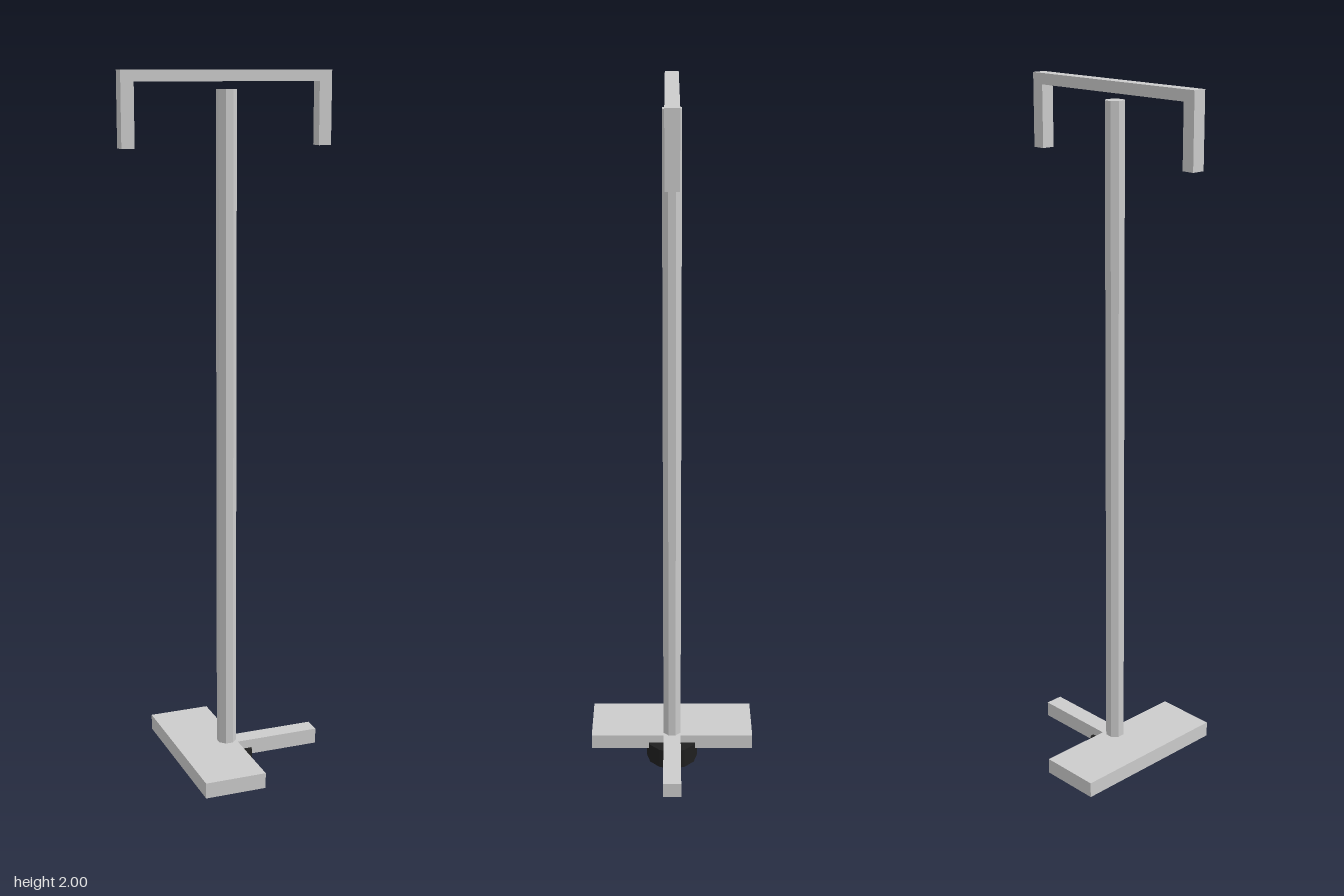
import * as THREE from 'three';

const grey = new THREE.MeshStandardMaterial({ color: 0xcccccc, flatShading: true });
const black = new THREE.MeshStandardMaterial({ color: 0x1f1f1f, flatShading: true });

export function createModel() {
  const model = new THREE.Group();
  model.name = 'pole';

  const add = (name, geometry, material = grey) => {
    const mesh = new THREE.Mesh(geometry, material);
    mesh.name = name;
    model.add(mesh);
    return mesh;
  };

  // Box given by its lower and upper corners
  const box = (name, x0, x1, y0, y1, halfDepth) =>
    add(name, new THREE.BoxGeometry(x1 - x0, y1 - y0, halfDepth * 2))
      .position.set((x0 + x1) / 2, (y0 + y1) / 2, 0);

  // Round rubber foot, partly sunk into the base
  add('foot', new THREE.CylinderGeometry(0.076, 0.076, 0.06, 12), black).position.y = 0.03;

  // Base: wide foot plate on one side, narrow bar on the other
  box('footPlate', -0.152, 0.026, 0.04, 0.085, 0.242);
  box('footBar', 0.026, 0.275, 0.04, 0.085, 0.026);

  // Octagonal shaft with flats facing the axes
  const shaft = add('shaft', new THREE.CylinderGeometry(0.028, 0.028, 1.9, 8));
  shaft.position.y = 1.0;
  shaft.rotation.y = Math.PI / 8;

  // Hooked handle as one bent bar, floating just above the shaft
  const w = 0.298, inner = 0.262;
  const outline = [
    [-w, 1.8], [-inner, 1.8], [-inner, 1.97], [inner, 1.97],
    [inner, 1.8], [w, 1.8], [w, 2], [-w, 2],
  ].map(([x, y]) => new THREE.Vector2(x, y));
  const handle = new THREE.ExtrudeGeometry(new THREE.Shape(outline), { depth: 0.038, bevelEnabled: false });
  add('handle', handle).position.z = -0.019;

  return model;
}
